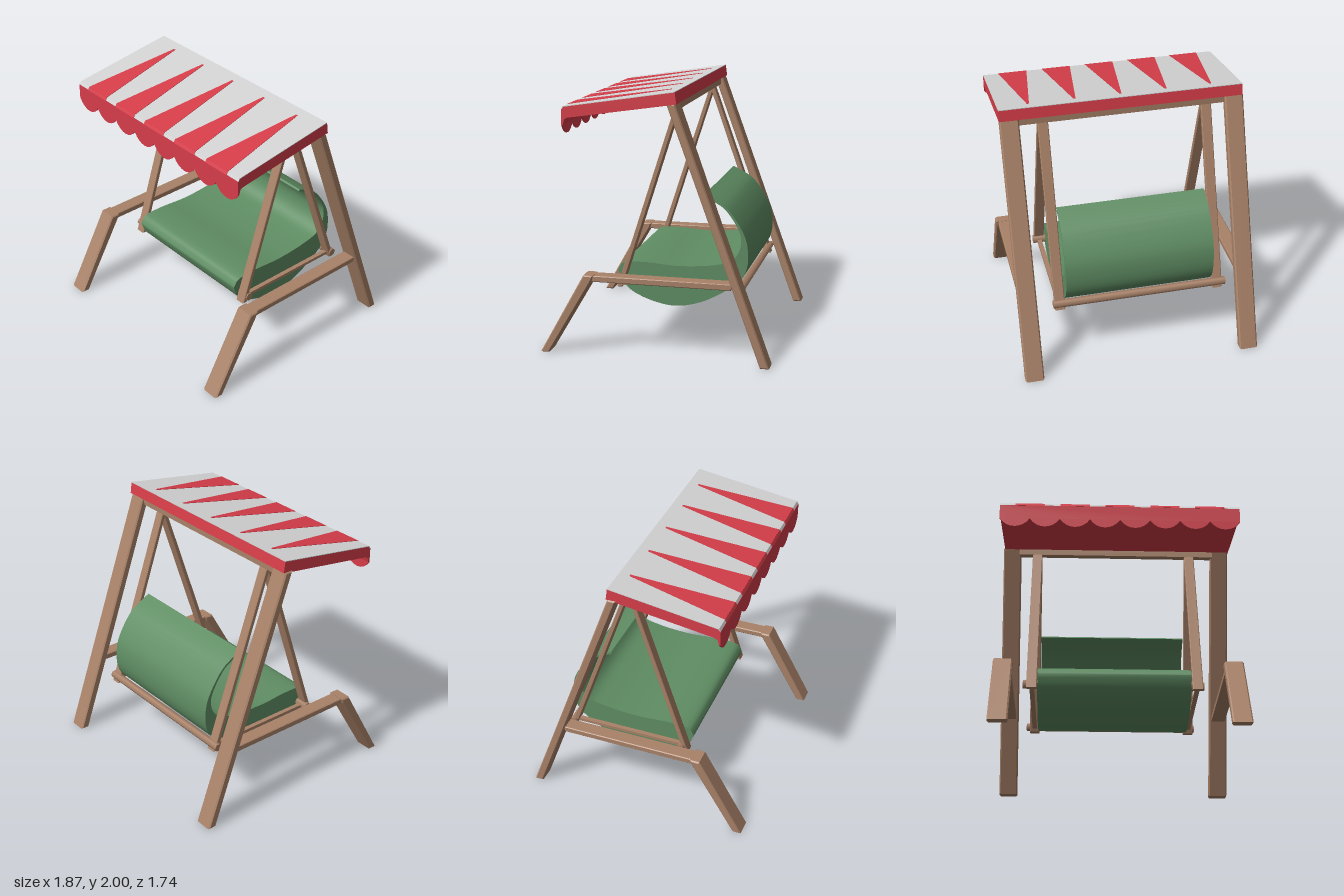
import * as THREE from 'three';
import { toCreasedNormals } from 'three/addons/utils/BufferGeometryUtils.js';

const paint = (name, color) => {
  const m = new THREE.MeshStandardMaterial({ color });
  m.name = name;
  return m;
};

export function createModel() {
  const model = new THREE.Group();
  model.name = 'gardenSwing';
  const wood = paint('brown wood', 0xa98268);
  const fabric = paint('green fabric', 0x5f8d63);
  const red = paint('red canvas', 0xd63d49);
  const white = paint('white canvas', 0xd4d4d4);

  const add = (name, geometry, material) => {
    const mesh = new THREE.Mesh(geometry, material);
    mesh.name = name;
    model.add(mesh);
    return mesh;
  };

  // Side profile of [z, y] points, extruded along x and centred on x
  const profile = (points, x, width, bevel = 0) => {
    const shape = new THREE.Shape(points.map(([z, y]) => new THREE.Vector2(z, y)));
    const depth = width - 2 * bevel;
    return new THREE.ExtrudeGeometry(shape, {
      depth, bevelEnabled: bevel > 0, bevelSize: bevel, bevelThickness: bevel,
      bevelOffset: -bevel, bevelSegments: 1,
    }).translate(0, 0, -depth / 2).rotateY(-Math.PI / 2).translate(x, 0, 0);
  };

  // Frame: slanted rear posts, front legs and side beams
  for (const [side, s] of [['left', 1], ['right', -1]]) {
    const x = s * 0.858;
    add(side + 'RearPost', profile([[-0.87, 0], [-0.803, 0], [-0.108, 1.91], [-0.172, 1.91]], x, 0.145, 0.01), wood);
    add(side + 'FrontLeg', profile([[0.87, 0], [0.803, 0], [0.465, 0.575], [0.452, 0.617], [0.526, 0.617]], x, 0.145, 0.01), wood);
    add(side + 'SideBeam', profile([[0.5, 0.568], [0.5, 0.615], [-0.6, 0.615], [-0.58, 0.568]], x, 0.11, 0.006), wood);
  }
  add('topBeam', new THREE.BoxGeometry(1.6, 0.05, 0.05).translate(0, 1.875, -0.135), wood);

  // Swing: hangers, side rails and cross bars, set slightly off centre
  const swingX = -0.022;
  for (const [side, s] of [['left', 1], ['right', -1]]) {
    const x = swingX + s * 0.627;
    add(side + 'FrontHanger', profile([[0.347, 0.465], [0.308, 0.465], [-0.135, 1.845], [-0.1, 1.845]], x, 0.08, 0.005), wood);
    add(side + 'RearHanger', profile([[-0.63, 0.465], [-0.59, 0.465], [-0.105, 1.845], [-0.14, 1.845]], x, 0.08, 0.005), wood);
    add(side + 'SideRail', new THREE.BoxGeometry(0.035, 0.024, 0.89).translate(x, 0.503, -0.155), wood);
  }
  for (const [name, z, r] of [['frontCrossBar', 0.29, 0.033], ['rearCrossBar', -0.607, 0.032]]) {
    add(name, new THREE.CylinderGeometry(r, r, 1.37, 6).rotateZ(Math.PI / 2).translate(-0.03, 0.51, z).toNonIndexed(), wood);
  }

  // Seat: thick base sweeping up into a thin curved backrest
  const curve = (pts, n) => new THREE.CatmullRomCurve3(
    pts.map(([z, y]) => new THREE.Vector3(z, y, 0)), false, 'centripetal',
  ).getPoints(n).map((p) => [p.x, p.y]);
  const upper = curve([
    [0.36, 0.58], [0.325, 0.63], [0.16, 0.645], [-0.08, 0.63], [-0.25, 0.637], [-0.38, 0.653],
    [-0.51, 0.688], [-0.575, 0.77], [-0.588, 0.87], [-0.56, 0.95], [-0.465, 1.085], [-0.39, 1.135], [-0.298, 1.18],
  ], 40);
  const lower = curve([
    [-0.308, 1.193], [-0.4, 1.147], [-0.48, 1.093], [-0.59, 0.94], [-0.633, 0.83], [-0.638, 0.66],
    [-0.59, 0.55], [-0.42, 0.425], [-0.25, 0.345], [-0.07, 0.315], [0.1, 0.345], [0.25, 0.41], [0.325, 0.48], [0.362, 0.57],
  ], 40);
  add('seat', toCreasedNormals(profile([...upper, ...lower], -0.025, 1.16), 0.7), fabric);

  // Canopy: red slab with a white cover wrapped over its front edge
  const cx = 0.007, canopyWidth = 1.855;
  add('canopy', profile([
    [-0.173, 1.995], [0.65, 1.868], [0.662, 1.85], [0.662, 1.74], [0.655, 1.74],
    [0.645, 1.778], [0.62, 1.79], [-0.185, 1.91],
  ], cx, canopyWidth), red);
  add('canopyCover', profile([
    [-0.173, 1.995], [0.65, 1.868], [0.662, 1.85], [0.666, 1.85], [0.654, 1.872], [-0.173, 2],
  ], cx, canopyWidth), white);

  // Red tapering stripes, with a lip over the front edge
  const slope = Math.atan2(0.128, 0.827);
  const stripe = new THREE.Shape([[-0.112, 0], [0.112, 0], [0.008, 0.76], [-0.008, 0.76]].map(([x, y]) => new THREE.Vector2(x, y)));
  for (let i = -2; i <= 2; i++) {
    const x = cx + i * 0.348;
    add('canopyStripe', new THREE.ExtrudeGeometry(stripe, { depth: 0.003, bevelEnabled: false })
      .rotateX(slope - Math.PI / 2).translate(x, 1.872, 0.654), red);
    add('stripeLip', profile([[0.652, 1.874], [0.656, 1.874], [0.669, 1.85], [0.664, 1.85]], x, 0.226), red);
  }

  // Scalloped valance along the front edge
  const valance = new THREE.Shape();
  const left = cx - canopyWidth / 2, step = canopyWidth / 8;
  valance.moveTo(left, 1.851);
  valance.lineTo(left, 1.735);
  for (let i = 0; i < 8; i++) {
    const x = left + i * step;
    valance.bezierCurveTo(x + step * 0.25, 1.642, x + step * 0.75, 1.642, x + step, 1.735);
  }
  valance.lineTo(left + canopyWidth, 1.851);
  add('valance', new THREE.ExtrudeGeometry(valance, { depth: 0.011, bevelEnabled: false, curveSegments: 8 })
    .translate(0, 0, 0.656), red);

  return model;
}
